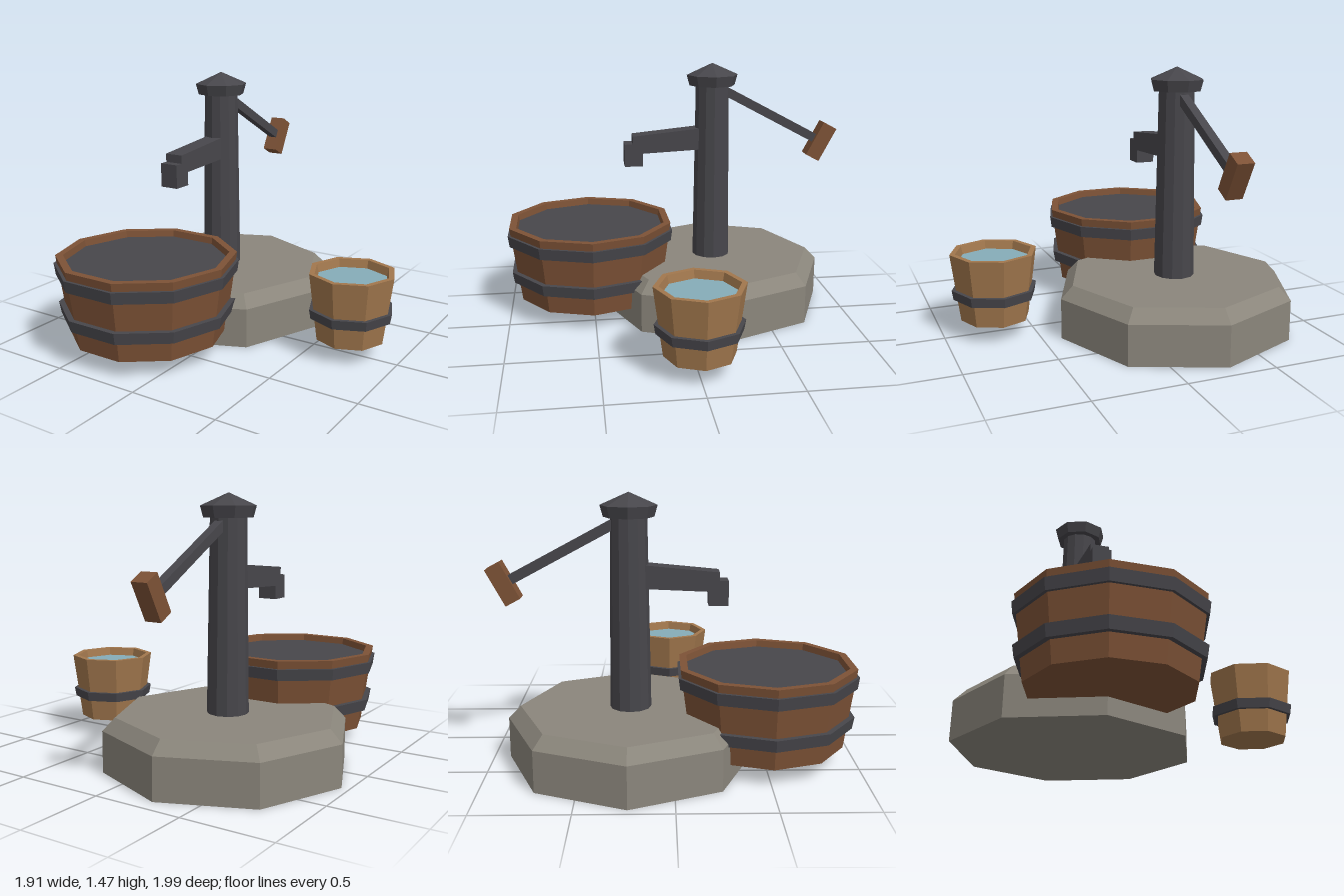
import * as THREE from 'three';

const flat = (name, color) => new THREE.MeshStandardMaterial({ name, color, flatShading: true });

export function createModel() {
  const stone = flat('stone', 0x8b867c);
  const iron = flat('iron', 0x47464b);
  const darkWood = flat('darkWood', 0x7d5236);
  const lightWood = flat('lightWood', 0xa1774d);
  const water = flat('water', 0x86acb8);

  const model = new THREE.Group();
  model.name = 'waterPump';

  const add = (parent, name, geometry, material, x = 0, y = 0, z = 0) => {
    const mesh = new THREE.Mesh(geometry, material);
    mesh.name = name;
    mesh.position.set(x, y, z);
    parent.add(mesh);
    return mesh;
  };
  // Faceted turned shape from [radius, height] pairs, with a corner on the x axis
  const turned = (sides, profile) =>
    new THREE.LatheGeometry(profile.map(([r, y]) => new THREE.Vector2(r, y)), sides, Math.PI / 2);

  // Stone plinth with a bevelled top edge
  add(model, 'plinth', turned(8, [[0, 0], [0.678, 0], [0.678, 0.227], [0.61, 0.297], [0, 0.297]]),
    stone, -0.28, 0, -0.235);

  // Pump column and pointed cap
  const pump = new THREE.Group();
  pump.name = 'pump';
  pump.position.set(-0.282, 0, -0.235);
  model.add(pump);
  add(pump, 'column', turned(12, [[0, 0.28], [0.114, 0.28], [0.098, 1.36], [0, 1.36]]), iron);
  add(pump, 'cap', turned(8, [[0, 1.343], [0.136, 1.343], [0.153, 1.405], [0, 1.473]]), iron);

  // Spout arm: a sloping side outline extruded across x
  const arm = new THREE.Shape([[0, 0.968], [0.481, 0.946], [0.481, 1.053], [0, 1.1]]
    .map(([z, y]) => new THREE.Vector2(-z, y)));
  const armGeometry = new THREE.ExtrudeGeometry(arm, { depth: 0.108, bevelEnabled: false });
  armGeometry.translate(0, 0, -0.054).rotateY(Math.PI / 2);
  add(pump, 'spoutArm', armGeometry, iron);
  add(pump, 'spoutNozzle', new THREE.BoxGeometry(0.108, 0.134, 0.107), iron, 0, 0.939, 0.476);

  // Handle sloping down to the back, with a wooden crossgrip
  const handle = new THREE.Group();
  handle.name = 'handle';
  handle.position.set(0, 1.325, -0.045);
  handle.rotation.x = -0.492;
  pump.add(handle);
  add(handle, 'handleBar', new THREE.BoxGeometry(0.05, 0.052, 0.69), iron, 0, 0, -0.345);
  add(handle, 'handleGrip', new THREE.BoxGeometry(0.094, 0.222, 0.09), darkWood, 0, 0, -0.711);

  // Open wooden vessel: staves, iron hoops and the surface of its contents
  const vessel = (name, o) => {
    const group = new THREE.Group();
    group.name = name;
    group.position.set(o.x, 0, o.z);
    model.add(group);
    add(group, name + 'Staves', turned(o.sides, [
      [0, 0.095], [o.bottom, 0.095], [o.top, o.height],
      [o.inner, o.height], [o.fillRadius, o.fill - 0.005],
    ]), o.wood);
    o.hoops.forEach(([y0, r0, y1, r1], i) => add(group, name + 'Hoop' + (i + 1), turned(o.sides, [
      [r0 - 0.06, y0], [r0, y0], [r1, y1], [r1 - 0.06, y1],
    ]), iron));
    add(group, name + 'Contents', turned(o.sides, [[o.fillRadius + 0.002, o.fill], [0, o.fill]]), o.surface);
  };

  vessel('tub', {
    x: -0.283, z: 0.51, sides: 10, wood: darkWood, surface: iron,
    bottom: 0.435, top: 0.498, height: 0.545, inner: 0.456, fill: 0.508, fillRadius: 0.45,
    hoops: [[0.21, 0.48, 0.275, 0.491], [0.435, 0.5, 0.5, 0.509]],
  });
  vessel('bucket', {
    x: 0.714, z: -0.01, sides: 8, wood: lightWood, surface: water,
    bottom: 0.192, top: 0.243, height: 0.477, inner: 0.213, fill: 0.432, fillRadius: 0.2,
    hoops: [[0.22, 0.23, 0.273, 0.239]],
  });

  return model;
}
